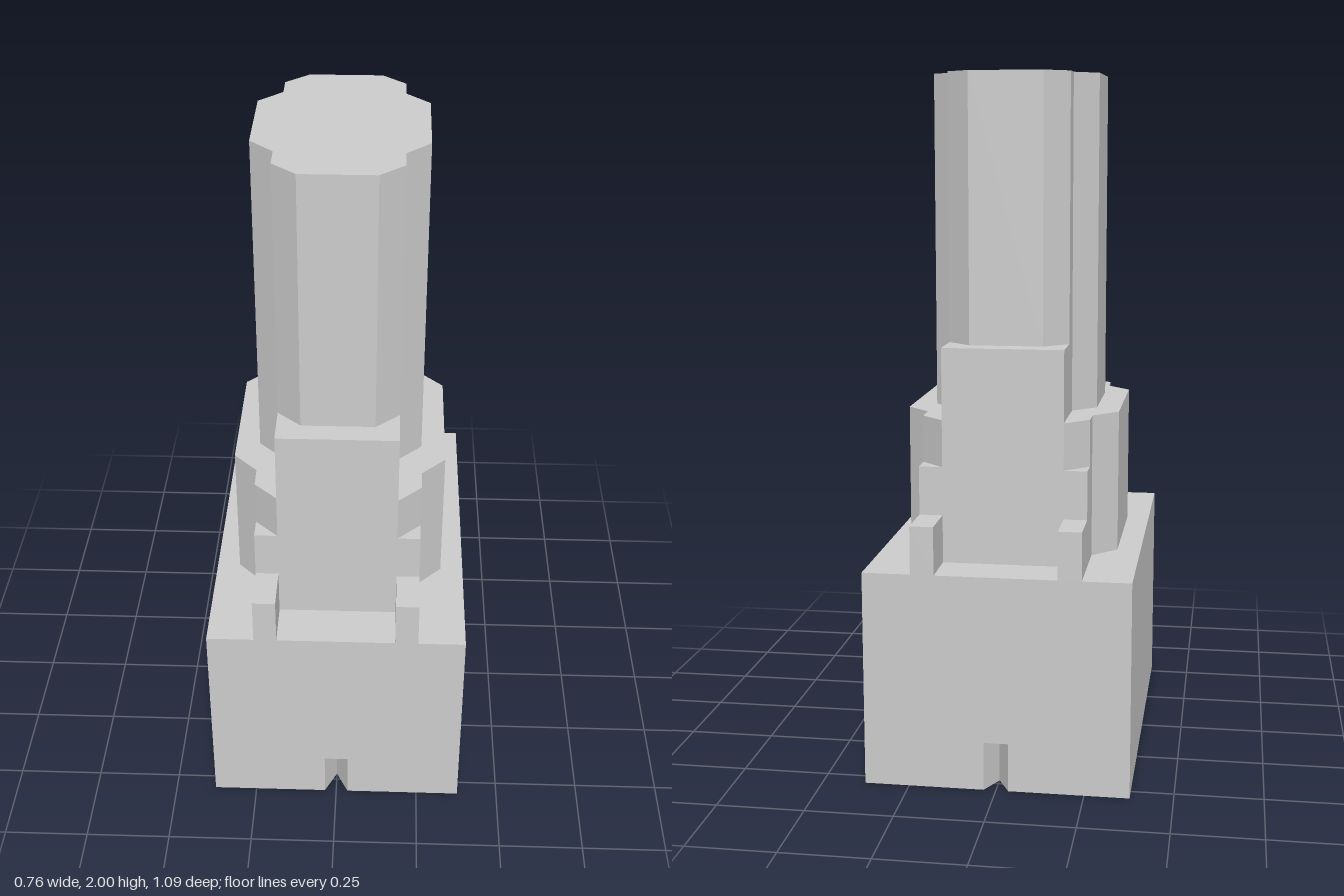
import * as THREE from 'three';

const material = new THREE.MeshStandardMaterial({ color: 0xcccccc, side: THREE.DoubleSide, flatShading: true });

// Outlines of one quarter of the plan as [x, z], running from the +x side to the +z side
const W = 0.378, D = 0.547;
const PLAN = {
  entrance: [[W, D], [0.035, D], [0, D - 0.07]],
  base: [[W, D]],
  shoulder: [[0.31, 0.203], [0.24, 0.275], [0.24, D], [0.173, D], [0.173, 0.41]],
  lower: [[0.31, 0.203], [0.24, 0.275], [0.24, 0.41]],
  chamfered: [[0.31, 0.203], [0.24, 0.275], [0.24, 0.345], [0.173, 0.41]],
  upper: [[0.24, 0.138], [0.173, 0.205], [0.173, 0.41]],
  tower: [[0.24, 0.138], [0.173, 0.205], [0.173, 0.28], [0.105, 0.343]],
};

// Full closed outline mirrored from one quarter
function fullLoop(q) {
  const r = [...q].reverse();
  return [
    ...q,
    ...r.map(([x, z]) => [-x, z]),
    ...q.map(([x, z]) => [-x, -z]),
    ...r.map(([x, z]) => [x, -z]),
  ];
}

// Upright walls around an outline
function addWalls(group, name, quarter, y0, y1) {
  const loop = fullLoop(quarter), pos = [];
  loop.forEach(([ax, az], i) => {
    const [bx, bz] = loop[(i + 1) % loop.length];
    if (Math.hypot(bx - ax, bz - az) < 1e-6) return;
    pos.push(ax, y0, az, ax, y1, az, bx, y1, bz, ax, y0, az, bx, y1, bz, bx, y0, bz);
  });
  const geo = new THREE.BufferGeometry();
  geo.setAttribute('position', new THREE.Float32BufferAttribute(pos, 3));
  geo.computeVertexNormals();
  const mesh = new THREE.Mesh(geo, material);
  mesh.name = name;
  group.add(mesh);
}

// Flat surface at height y, repeated in all four quarters
function addLedge(group, name, points, y) {
  const ledge = new THREE.Group();
  ledge.name = name;
  for (const sx of [1, -1]) for (const sz of [1, -1]) {
    const shape = new THREE.Shape(points.map(([x, z]) => new THREE.Vector2(x * sx, -z * sz)));
    const mesh = new THREE.Mesh(new THREE.ShapeGeometry(shape).rotateX(-Math.PI / 2), material);
    mesh.position.y = y;
    mesh.name = name + 'Quarter';
    ledge.add(mesh);
  }
  group.add(ledge);
}

export function createModel() {
  const model = new THREE.Group();
  model.name = 'steppedTower';

  // Base block with wedge-shaped door recesses front and back
  addWalls(model, 'entranceWalls', PLAN.entrance, 0, 0.14);
  addLedge(model, 'doorCeiling', [[0, D], [0.035, D], [0, D - 0.07]], 0.14);
  addWalls(model, 'baseWalls', PLAN.base, 0.14, 0.622);
  addLedge(model, 'baseSideRoof',
    [[W, 0], [W, D], [0.24, D], [0.24, 0.275], [0.31, 0.203], [0.31, 0]], 0.622);
  addLedge(model, 'baseEndRoof', [[0, 0.41], [0.173, 0.41], [0.173, D], [0, D]], 0.622);

  // Middle tier with four low buttress blocks
  addWalls(model, 'buttressTierWalls', PLAN.shoulder, 0.622, 0.76);
  addLedge(model, 'buttressRoof', [[0.173, 0.41], [0.24, 0.41], [0.24, D], [0.173, D]], 0.76);
  addWalls(model, 'middleTierWalls', PLAN.lower, 0.76, 0.9);
  addLedge(model, 'cornerLedge', [[0.24, 0.345], [0.24, 0.41], [0.173, 0.41]], 0.9);
  addWalls(model, 'chamferedTierWalls', PLAN.chamfered, 0.9, 1.035);
  addLedge(model, 'middleTierRoof',
    [[0.31, 0], ...PLAN.chamfered, [0.173, 0.205], [0.24, 0.138], [0.24, 0]], 1.035);

  // Upper tier projecting to front and back
  addWalls(model, 'upperTierWalls', PLAN.upper, 1.035, 1.24);
  addLedge(model, 'upperTierRoof',
    [[0, 0.41], [0.173, 0.41], [0.173, 0.28], [0.105, 0.343], [0, 0.343]], 1.24);

  // Main shaft
  addWalls(model, 'towerWalls', PLAN.tower, 1.24, 2);
  addLedge(model, 'towerRoof', [[0, 0], [0.24, 0], ...PLAN.tower, [0, 0.343]], 2);

  return model;
}
